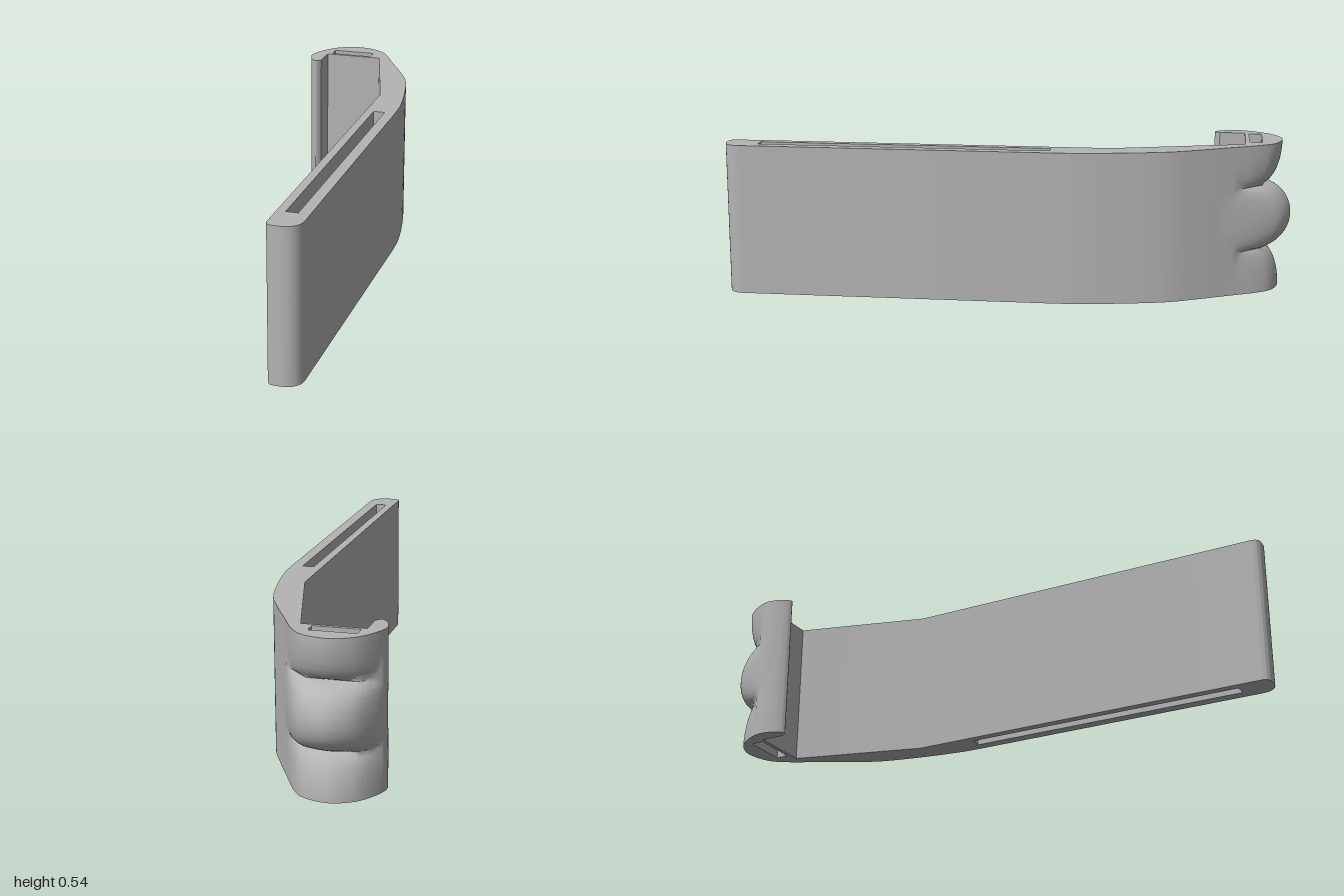
import * as THREE from 'three';
import { toCreasedNormals } from 'three/addons/utils/BufferGeometryUtils.js';

const H = 0.538;          // height of the extrusion
const LOBE = H * 20 / 70; // height of each end lobe, up to the groove
const BASE = 0.75;        // lobes swell beyond this depth

const v = (x, y) => new THREE.Vector2(x, y);

function slot(x0, x1, y0, y1) {
  return new THREE.Path([v(x0, y0), v(x0, y1), v(x1, y1), v(x1, y0), v(x0, y0)]);
}

// Swell of the hook's outer face: half lobes at the ends, a full one between
function swell(y) {
  const e = Math.min(y, H - y);
  const end = e <= LOBE + 1e-4;
  const u = end ? e / LOBE : (y - H / 2) / (H / 2 - LOBE);
  return 0.67 + (end ? 0.33 : 0.505) * Math.sqrt(Math.max(0, 1 - u * u));
}

export function createModel() {
  const grey = new THREE.MeshStandardMaterial({ color: 0xb4b4b4 });
  grey.name = 'grey';

  // Plan outline, drawn with the back of the model up
  const s = new THREE.Shape();
  s.moveTo(0.145, -0.975);
  s.quadraticCurveTo(0.147, -0.997, 0.17, -1);
  s.lineTo(0.195, -1);
  s.bezierCurveTo(0.225, -1, 0.255, -0.98, 0.255, -0.94);
  s.lineTo(0.255, 0.16);
  s.splineThru([v(0.251, 0.25), v(0.231, 0.39), v(0.193, 0.56), v(0.138, 0.68), v(0.088, 0.775),
    v(0.03, 0.885), v(-0.02, 0.94), v(-0.105, 0.963), v(-0.18, 0.935), v(-0.228, 0.88),
    v(-0.257, 0.81), v(-0.245, 0.75), v(-0.22, 0.722), v(-0.201, 0.74)]);
  s.lineTo(-0.2, 0.83);
  s.lineTo(0.015, 0.83);
  s.lineTo(0.145, 0.36);
  s.closePath();
  s.holes.push(slot(0.175, 0.216, -0.88, 0.155), slot(-0.185, -0.025, 0.845, 0.89));

  const geo = new THREE.ExtrudeGeometry(s, { depth: H, steps: 70, bevelEnabled: false, curveSegments: 8 });

  // Press two finger grooves into the outside of the hook
  const p = geo.attributes.position;
  for (let i = 0; i < p.count; i++) {
    const x = p.getX(i), y = p.getY(i);
    const inner = x > -0.205 && x < 0.016 && y < 0.9;
    if (y <= BASE || inner) continue;
    const k = swell(p.getZ(i));
    let d = BASE + (y - BASE) * k;
    if (k < 1) { // keep a thin wall behind the slot
      const wall = 0.895 - Math.max(0, Math.abs(x + 0.105) - 0.085);
      d = Math.min(y, Math.max(d, wall));
    }
    p.setY(i, d);
  }
  geo.rotateX(-Math.PI / 2);

  const handle = new THREE.Mesh(toCreasedNormals(geo, 0.6), grey);
  handle.name = 'hookedHandle';
  const group = new THREE.Group();
  group.name = 'slottedHook';
  group.add(handle);
  return group;
}
